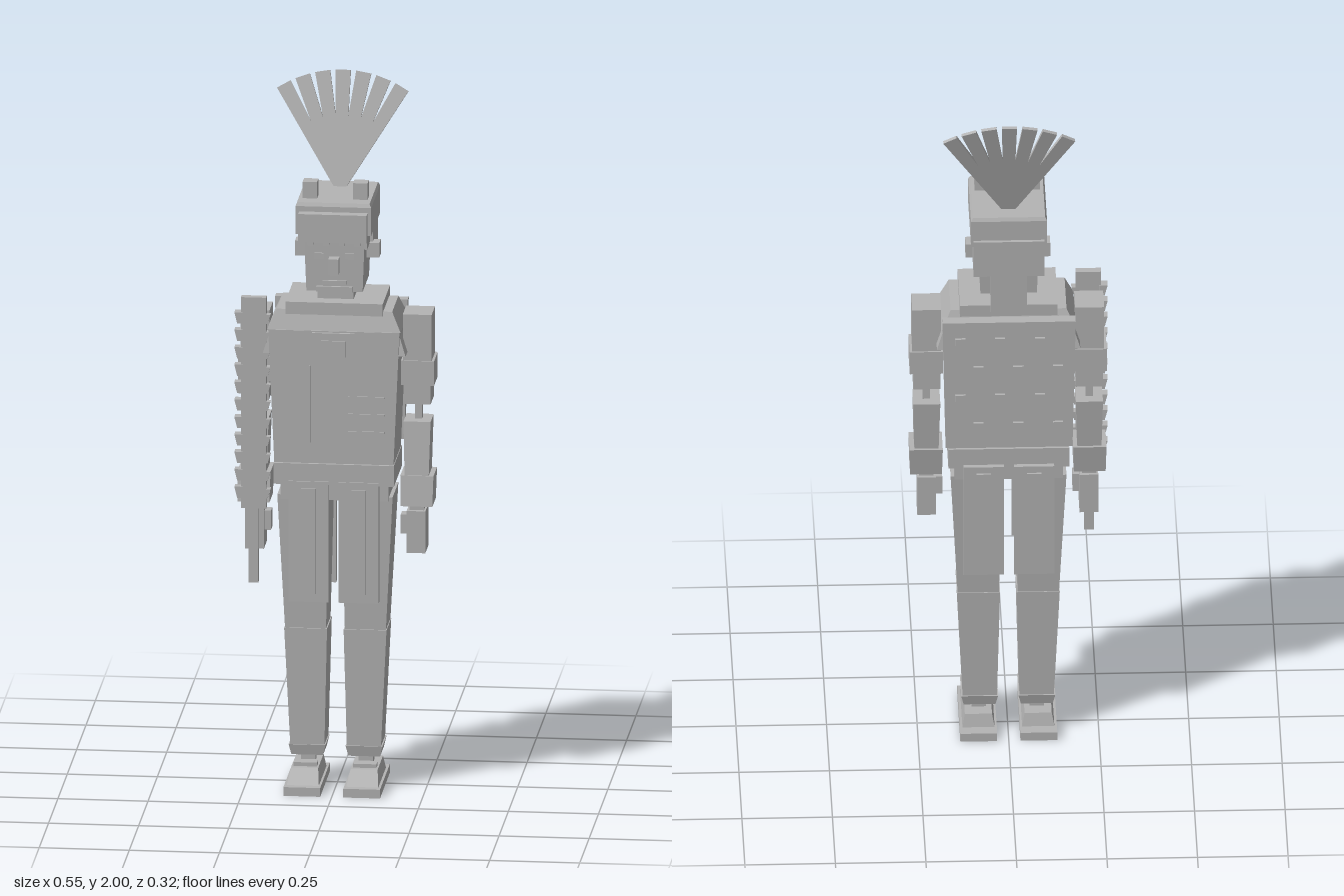
import * as THREE from 'three';

const grey = new THREE.MeshStandardMaterial({ color: 0xb4b4b4 });
grey.name = 'plain grey';

// Block given by its x, y and z ranges. Optional bottom ranges taper or slant it.
function block(parent, name, [x0, x1], [y0, y1], [z0, z1], bx = [x0, x1], bz = [z0, z1]) {
  const g = new THREE.BoxGeometry(1, 1, 1);
  const p = g.attributes.position;
  for (let i = 0; i < p.count; i++) {
    const up = p.getY(i) > 0, xs = up ? [x0, x1] : bx, zs = up ? [z0, z1] : bz;
    p.setXYZ(i, xs[p.getX(i) > 0 ? 1 : 0], up ? y1 : y0, zs[p.getZ(i) > 0 ? 1 : 0]);
  }
  g.computeVertexNormals();
  const m = new THREE.Mesh(g, grey);
  m.name = name;
  parent.add(m);
  return m;
}

function group(parent, name) {
  const g = new THREE.Group();
  g.name = name;
  parent.add(g);
  return g;
}

const mid = (w) => [-w, w];
// Range mirrored to the given side of the body
const on = (s, a, b) => (s > 0 ? [a, b] : [-b, -a]);

function buildHead(model) {
  const head = group(model, 'head');
  block(head, 'neck', mid(0.05), [1.38, 1.44], [-0.05, 0.05]);
  block(head, 'skull', mid(0.085), [1.43, 1.61], [-0.1, 0.085], mid(0.078), [-0.09, 0.082]);
  block(head, 'backHair', mid(0.098), [1.51, 1.62], [-0.135, 0]);
  block(head, 'hairTail', mid(0.05), [1.38, 1.52], [-0.13, -0.095]);
  block(head, 'nose', mid(0.014), [1.485, 1.53], [0.08, 0.115]);
  block(head, 'mouth', mid(0.033), [1.452, 1.462], [0.078, 0.09]);
  block(head, 'chin', mid(0.05), [1.43, 1.445], [0.075, 0.09]);
  // Ragged fringe below the hat
  for (let i = -3; i <= 3; i++)
    block(head, 'fringe', [i * 0.022 - 0.008, i * 0.022 + 0.008], [i % 2 ? 1.565 : 1.58, 1.61], [0.08, 0.1]);
  for (const s of [-1, 1]) {
    block(head, 'eye', on(s, 0.03, 0.055), [1.525, 1.54], [0.08, 0.089]);
    block(head, 'ear', on(s, 0.08, 0.117), [1.51, 1.552], [-0.03, 0.012]);
    block(head, 'sideLock', on(s, 0.075, 0.09), [1.55, 1.61], [0, 0.08]);
  }

  // Hat with visor and two knobs
  const hat = group(model, 'hat');
  block(hat, 'hatBand', mid(0.105), [1.6, 1.68], [-0.125, 0.112]);
  block(hat, 'hatTop', mid(0.1), [1.68, 1.69], [-0.12, 0.107], mid(0.105), [-0.125, 0.112]);
  block(hat, 'visor', mid(0.095), [1.585, 1.665], [0.105, 0.14]);
  for (const s of [-1, 1]) block(hat, 'knob', on(s, 0.05, 0.09), [1.68, 1.737], [0.028, 0.066]);

  // Fan of seven tapered feathers leaning back
  const fan = group(model, 'featherFan');
  fan.position.set(0, 1.683, -0.067);
  fan.rotation.x = -0.27;
  for (let i = -3; i <= 3; i++) {
    const f = block(fan, 'feather', mid(0.021), [0, 0.328], mid(0.005), mid(0.012));
    f.rotation.z = -i * Math.PI / 18;
  }
}

function buildTorso(model) {
  const t = group(model, 'torso');
  block(t, 'collar', mid(0.135), [1.365, 1.4], [-0.105, 0.095]);
  block(t, 'shoulderYoke', mid(0.16), [1.32, 1.375], [-0.085, 0.08], mid(0.185), [-0.105, 0.097]);
  block(t, 'chest', mid(0.182), [0.93, 1.32], [-0.105, 0.1], mid(0.165), [-0.1, 0.098]);
  block(t, 'belt', mid(0.167), [0.88, 0.94], [-0.108, 0.106]);
  block(t, 'hips', mid(0.15), [0.83, 0.88], [-0.085, 0.08]);
  block(t, 'pocket', [-0.06, 0.058], [1.228, 1.316], [0.095, 0.108]);
  block(t, 'pocketCentre', [-0.035, 0.033], [1.25, 1.295], [0.107, 0.112]);
  block(t, 'chestSeam', [-0.068, -0.064], [1.0, 1.22], [0.095, 0.102]);
  for (const y of [1.03, 1.08, 1.13])
    block(t, 'chestRib', [0.04, 0.14], [y, y + 0.005], [0.095, 0.102]);
  // Studded plate on the back
  block(t, 'backPlate', mid(0.184), [0.96, 1.36], [-0.132, -0.1], mid(0.175));
  for (let r = 0; r < 4; r++) for (let c = 0; c < 3; c++) {
    const x = (c - 1) * 0.11 + (r % 2 ? 0.025 : -0.025), y = 1.02 + r * 0.09;
    block(t, 'backStud', [x - 0.014, x + 0.014], [y, y + 0.022], [-0.14, -0.13]);
  }
  // Sloping shoulder caps and hanging front and back flaps
  for (const s of [-1, 1]) {
    block(t, 'shoulderCap', on(s, 0.12, 0.165), [1.25, 1.355], [-0.075, 0.075], on(s, 0.12, 0.198), [-0.09, 0.09]);
    block(t, 'frontFlap', on(s, 0.014, 0.125), [0.545, 0.89], [0.088, 0.11]);
    block(t, 'backFlap', on(s, 0.014, 0.125), [0.545, 0.89], [-0.122, -0.095]);
    block(t, 'frontFlapStrip', on(s, 0.05, 0.09), [0.57, 0.87], [0.108, 0.115]);
    block(t, 'backFlapStrip', on(s, 0.05, 0.09), [0.57, 0.87], [-0.128, -0.12]);
  }
}

function buildArm(model, s) {
  const a = group(model, s > 0 ? 'leftArm' : 'rightArm');
  block(a, 'upperArm', on(s, 0.185, 0.265), [1.16, 1.357], [-0.053, 0.038]);
  block(a, 'armBand', on(s, 0.18, 0.272), [1.155, 1.225], [-0.058, 0.042]);
  block(a, 'elbowGuard', on(s, 0.187, 0.262), [1.1, 1.155], [-0.048, 0.036]);
  block(a, 'elbowPin', on(s, 0.215, 0.235), [1.04, 1.11], [-0.015, 0.005]);
  block(a, 'forearm', on(s, 0.187, 0.262), [0.88, 1.05], [-0.046, 0.038], on(s, 0.192, 0.258), [-0.03, 0.056]);
  block(a, 'cuff', on(s, 0.18, 0.272), [0.815, 0.9], [-0.04, 0.058], on(s, 0.182, 0.27), [-0.027, 0.068]);
  block(a, 'wrist', on(s, 0.205, 0.245), [0.79, 0.82], [-0.01, 0.05]);
  block(a, 'hand', on(s, 0.198, 0.25), [0.68, 0.8], [-0.02, 0.062]);
  block(a, 'thumb', on(s, 0.18, 0.2), [0.73, 0.785], [0.01, 0.045]);
}

// Serrated blade held upright in the right hand
function buildBlade(model) {
  const b = group(model, 'serratedBlade');
  block(b, 'blade', [-0.26, -0.19], [0.8, 1.405], [0.058, 0.08]);
  block(b, 'handle', [-0.24, -0.213], [0.585, 0.82], [0.045, 0.072]);
  for (let i = 0; i < 11; i++) {
    const y = 0.83 + i * 0.05;
    block(b, 'outerTooth', [-0.278, -0.255], [y, y + 0.032], [0.055, 0.083], [-0.27, -0.255]);
    block(b, 'innerTooth', [-0.195, -0.178], [y, y + 0.026], [0.058, 0.08], [-0.195, -0.186]);
  }
}

function buildLeg(model, s) {
  const l = group(model, s > 0 ? 'leftLeg' : 'rightLeg');
  block(l, 'thigh', on(s, 0.018, 0.16), [0.455, 0.84], [-0.085, 0.07], on(s, 0.026, 0.14), [-0.065, 0.056]);
  block(l, 'shin', on(s, 0.023, 0.142), [0.12, 0.455], [-0.068, 0.06], on(s, 0.031, 0.126), [-0.058, 0.052]);
  block(l, 'shinCuff', on(s, 0.028, 0.13), [0.09, 0.12], [-0.062, 0.056], on(s, 0.035, 0.123), [-0.055, 0.05]);
  block(l, 'ankle', on(s, 0.06, 0.1), [0.055, 0.095], [-0.02, 0.015]);
  block(l, 'shoeTop', on(s, 0.045, 0.12), [0.025, 0.062], [-0.06, 0.085], on(s, 0.038, 0.127), [-0.07, 0.135]);
  block(l, 'shoeBuckle', on(s, 0.05, 0.115), [0.055, 0.073], [0.035, 0.07]);
  block(l, 'sole', on(s, 0.032, 0.134), [0, 0.025], [-0.105, 0.157]);
}

export function createModel() {
  const model = new THREE.Group();
  model.name = 'blockyWarrior';
  buildHead(model);
  buildTorso(model);
  for (const s of [-1, 1]) {
    buildArm(model, s);
    buildLeg(model, s);
  }
  buildBlade(model);
  return model;
}
